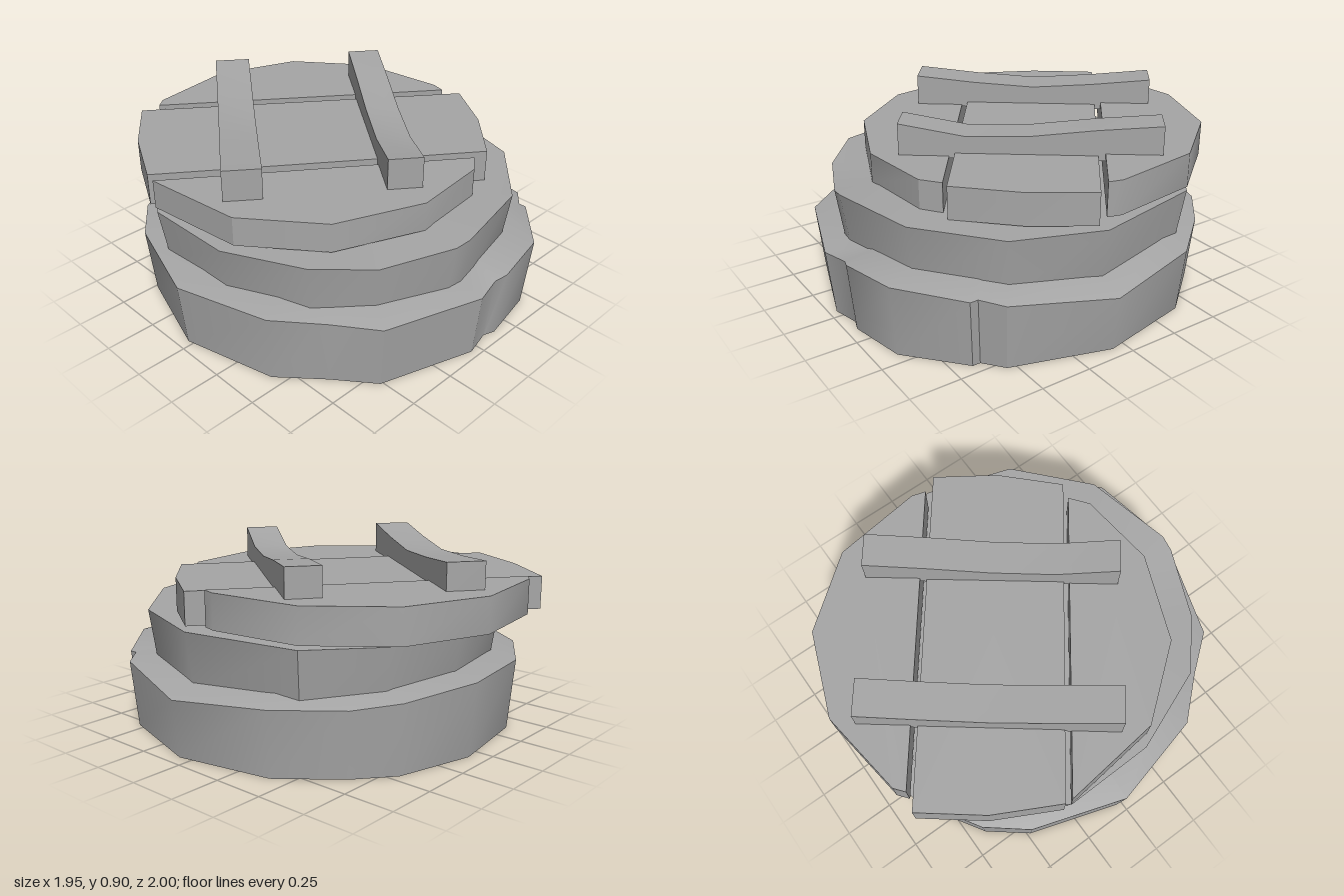
import * as THREE from 'three';
import { toCreasedNormals } from 'three/addons/utils/BufferGeometryUtils.js';

const stone = new THREE.MeshStandardMaterial({ color: 0xa6a6a6 });
stone.name = 'grey stone';

// Closed solid through rings of [x, y, z], bottom to top, each counterclockwise from above
function loft(name, rings) {
  const n = rings[0].length, pos = rings.flat(2), idx = [];
  for (let r = 0; r < rings.length - 1; r++) {
    for (let i = 0; i < n; i++) {
      const a = r * n + i, b = r * n + (i + 1) % n;
      idx.push(a, b, b + n, a, b + n, a + n);
    }
  }
  // end caps fan out from the middle of each end ring
  [rings[0], rings[rings.length - 1]].forEach((ring, end) => {
    const c = pos.length / 3, off = end * (rings.length - 1) * n;
    for (let k = 0; k < 3; k++) pos.push(ring.reduce((s, p) => s + p[k], 0) / n);
    for (let i = 0; i < n; i++) {
      const a = off + i, b = off + (i + 1) % n;
      idx.push(c, end ? a : b, end ? b : a);
    }
  });
  const g = new THREE.BufferGeometry();
  g.setAttribute('position', new THREE.Float32BufferAttribute(pos, 3));
  g.setIndex(idx);
  const mesh = new THREE.Mesh(toCreasedNormals(g, 0.55), stone);
  mesh.name = name;
  return mesh;
}

// Outline points are [x, z, top height]
const ringAt = (outline, scale, y) =>
  outline.map(([x, z, top]) => [x * scale, typeof y === 'function' ? y(top) : y, z * scale]);

const baseOutline = [
  [0.97, 0.07, 0.28], [0.87, -0.42, 0.32], [0.65, -0.69, 0.32], [0.47, -0.84, 0.34],
  [0.08, -0.95, 0.36], [-0.38, -0.88, 0.35], [-0.68, -0.69, 0.35], [-0.83, -0.5, 0.34],
  [-0.98, -0.03, 0.33], [-0.86, 0.45, 0.35], [-0.68, 0.65, 0.34], [-0.53, 0.84, 0.33],
  [-0.05, 0.995, 0.33], [0.09, 0.96, 0.335], [0.15, 0.98, 0.35], [0.45, 0.92, 0.36],
  [0.72, 0.68, 0.34], [0.72, 0.64, 0.34], [0.82, 0.56, 0.33],
];

const wallOutline = [
  [0.88, 0.07, 0.575], [0.76, -0.5, 0.57], [0.45, -0.75, 0.565], [0.05, -0.84, 0.57],
  [-0.4, -0.76, 0.57], [-0.72, -0.53, 0.575], [-0.87, -0.3, 0.57], [-0.86, 0.15, 0.565],
  [-0.7, 0.55, 0.59], [-0.47, 0.75, 0.575], [-0.13, 0.89, 0.59], [-0.05, 0.9, 0.6],
  [0.4, 0.8, 0.595], [0.74, 0.5, 0.585],
];

// Lid slabs: [name, top height, outline]
const slabs = [
  ['frontLidSlab', 0.735, [[0.36, 0.59], [-0.87, -0.31], [-0.81, 0.19], [-0.54, 0.53], [-0.12, 0.7], [0.27, 0.66]]],
  ['middleLidSlab', 0.75, [[0.85, 0.1], [-0.5, -0.93], [-0.71, -0.66], [-0.87, -0.35], [0.43, 0.61], [0.67, 0.37]]],
  ['backLidSlab', 0.76, [[0.8, 0.02], [0.82, -0.05], [0.76, -0.5], [0.49, -0.84], [0.08, -1.0], [-0.36, -0.94], [-0.41, -0.9]]],
];

// Crossbar from start to end [x, z], its top sagging through the listed heights
function crossbar(name, [x0, z0], [x1, z1], width, tops) {
  const length = Math.hypot(x1 - x0, z1 - z0), bottom = 0.725, seg = tops.length - 1;
  const g = new THREE.BoxGeometry(length, 1, width, seg, 1, 1);
  const p = g.attributes.position;
  for (let i = 0; i < p.count; i++) {
    const station = Math.round((p.getX(i) / length + 0.5) * seg);
    p.setY(i, p.getY(i) > 0 ? tops[station] : bottom);
  }
  const mesh = new THREE.Mesh(toCreasedNormals(g, 0.55), stone);
  mesh.name = name;
  mesh.position.set((x0 + x1) / 2, 0, (z0 + z1) / 2);
  mesh.rotation.y = Math.atan2(z0 - z1, x1 - x0);
  return mesh;
}

export function createModel() {
  const model = new THREE.Group();
  model.name = 'coveredStoneWell';

  // flared base with a rim rising toward the wall
  model.add(loft('base', [
    ringAt(baseOutline, 0.968, 0),
    ringAt(baseOutline, 1, (t) => t),
    ringAt(baseOutline, 0.85, (t) => 0.5 * t + 0.2),
  ]));

  // upper wall course
  model.add(loft('wall', [
    ringAt(wallOutline, 0.955, 0.3),
    ringAt(wallOutline, 1, (t) => t),
  ]));

  // lid
  const lid = new THREE.Group();
  lid.name = 'lid';
  for (const [name, top, outline] of slabs) {
    lid.add(loft(name, [ringAt(outline, 1, 0.59), ringAt(outline, 1, top)]));
  }
  lid.add(crossbar('leftCrossbar', [-0.685, 0.115], [0.06, -0.86], 0.18, [0.89, 0.86, 0.84, 0.86, 0.89]));
  lid.add(crossbar('rightCrossbar', [-0.095, 0.55], [0.645, -0.43], 0.164, [0.89, 0.835, 0.84, 0.875, 0.9]));
  model.add(lid);
  return model;
}
